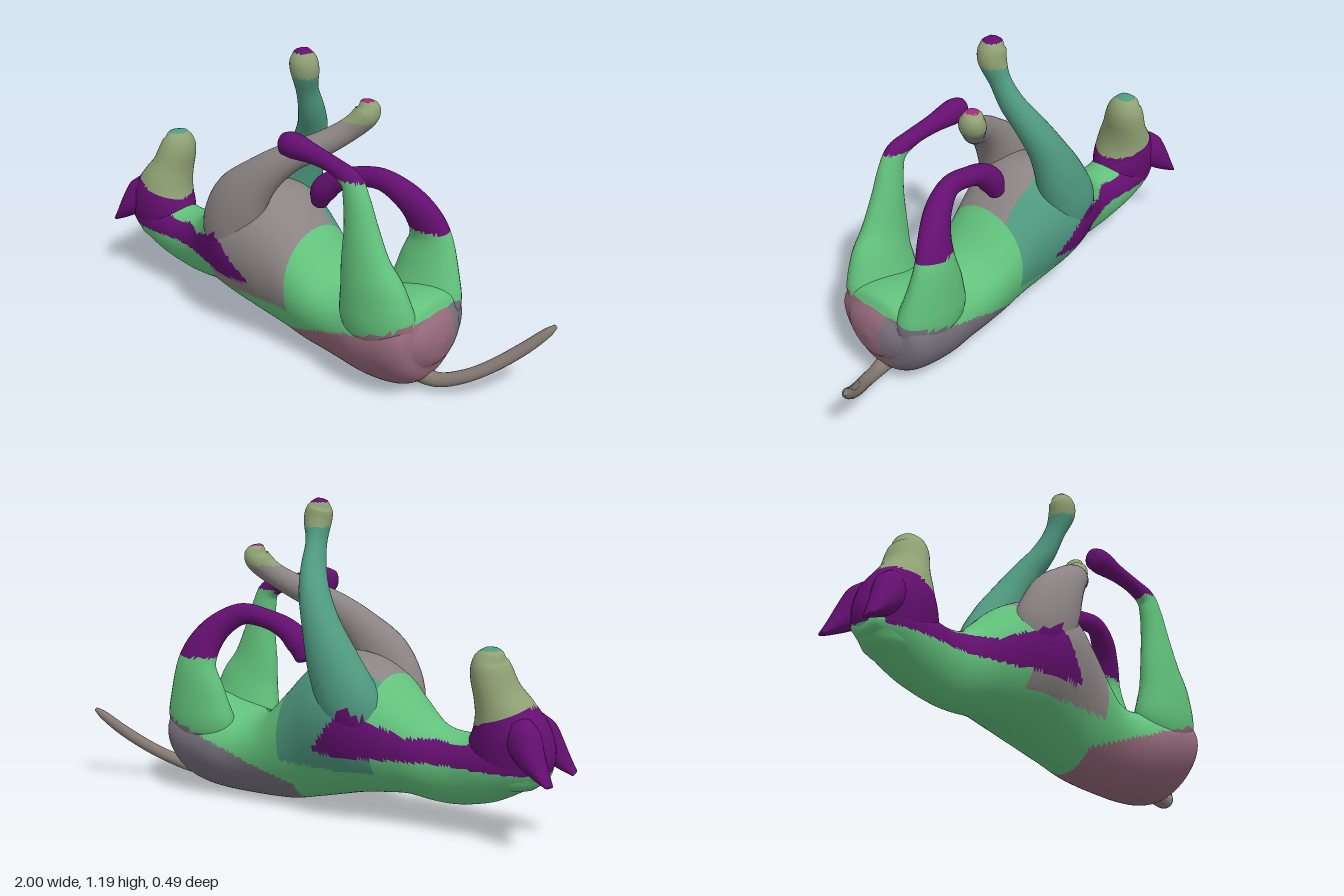
import * as THREE from 'three';

const GREEN = 0x62c27c, PURPLE = 0x640f70, GREY = 0x8c8484, MAUVE = 0x96697a,
  TEAL = 0x4f9a80, SLATE = 0x77707c, OLIVE = 0x8fa274, PINK = 0xa02a80, TAN = 0x857a72;

// Smooth skin over stations [x, y, z, a, b]; b is the half-width towards z, a is across it.
// colorAt(x, y, z) splits the skin into one mesh per colour, all sharing the same normals.
function loft(name, stations, colorAt, { upright = false, egg = 0, steps = 6, sides = 32 } = {}) {
  const curve = pts => new THREE.CatmullRomCurve3(pts, false, 'catmullrom', 0.5);
  const path = curve(stations.map(s => new THREE.Vector3(s[0], s[1], s[2])));
  const radii = curve(stations.map(s => new THREE.Vector3(s[3], s[4], 0)));
  const rows = (stations.length - 1) * steps;
  const pos = [];
  const ring = (center, a, b, up, side) => {
    for (let j = 0; j < sides; j++) {
      const t = (j / sides) * Math.PI * 2, s = Math.sin(t), c = Math.cos(t) * (1 + egg * s);
      const p = center.clone().addScaledVector(up, a * s).addScaledVector(side, b * c);
      pos.push(p.x, p.y, p.z);
    }
  };
  // rounded closing rings for the two ends
  const capRings = [[0.35, 0], [0.3, 0.5], [0.2, 0.8]];
  for (let i = 0; i <= rows; i++) {
    const u = i / rows, r = radii.getPoint(u), c = path.getPoint(u);
    const tan = upright ? new THREE.Vector3(1, 0, 0) : path.getTangent(u);
    const side = new THREE.Vector3(0, 0, 1);
    side.addScaledVector(tan, -side.dot(tan)).normalize();
    const up = new THREE.Vector3().crossVectors(side, tan);
    const cap = (out, scale, sign) => ring(
      c.clone().addScaledVector(tan, sign * out * Math.min(r.x, r.y)), r.x * scale, r.y * scale, up, side);
    if (i === 0) capRings.forEach(([out, scale]) => cap(out, scale, -1));
    ring(c, r.x, r.y, up, side);
    if (i === rows) [...capRings].reverse().forEach(([out, scale]) => cap(out, scale, 1));
  }
  const count = pos.length / 3 / sides, all = [], byColor = new Map();
  for (let i = 0; i < count - 1; i++) {
    for (let j = 0; j < sides; j++) {
      const a = i * sides + j, b = i * sides + (j + 1) % sides, c = a + sides, d = b + sides;
      for (const tri of [[a, b, c], [b, d, c]]) {
        const mid = [0, 1, 2].map(n => tri.reduce((sum, v) => sum + pos[v * 3 + n], 0) / 3);
        const color = colorAt(...mid);
        all.push(...tri);
        if (!byColor.has(color)) byColor.set(color, []);
        byColor.get(color).push(...tri);
      }
    }
  }
  const whole = new THREE.BufferGeometry();
  whole.setAttribute('position', new THREE.Float32BufferAttribute(pos, 3));
  whole.setIndex(all);
  whole.computeVertexNormals();
  const group = new THREE.Group();
  group.name = name;
  for (const [color, index] of byColor) {
    const g = new THREE.BufferGeometry();
    g.setAttribute('position', whole.getAttribute('position'));
    g.setAttribute('normal', whole.getAttribute('normal'));
    g.setIndex(index);
    const mesh = new THREE.Mesh(g, new THREE.MeshStandardMaterial({ color, side: THREE.DoubleSide }));
    mesh.name = name + 'Skin';
    group.add(mesh);
  }
  return group;
}

// Rump patch shared by torso and thighs, and the dark band along neck and shoulder
const onRump = (x, y) => x > 0.05 && y < 0.1 + (x - 0.05) * 0.38;
const onBand = (x, y) => x < -0.1 && y > 0.265
  && y < Math.min(0.35 + Math.max(0, x + 0.45) * 0.5, 0.28 - (x + 0.1) * 1.2);

export function createModel() {
  const model = new THREE.Group();
  model.name = 'animalOnItsBack';

  // Torso, neck and back of the skull: x, bottom, top, half-width, z shift
  const torso = [
    [-0.93, 0.24, 0.31, 0.06, 0], [-0.85, 0.19, 0.36, 0.1, 0], [-0.74, 0.135, 0.38, 0.11, 0],
    [-0.61, 0.105, 0.37, 0.105, 0], [-0.51, 0.103, 0.395, 0.12, 0], [-0.41, 0.113, 0.48, 0.16, 0],
    [-0.32, 0.105, 0.56, 0.205, 0], [-0.22, 0.09, 0.608, 0.235, 0], [-0.1, 0.06, 0.62, 0.225, 0],
    [0, 0.035, 0.565, 0.202, 0], [0.1, 0.012, 0.465, 0.186, 0], [0.2, 0.004, 0.37, 0.176, 0],
    [0.3, 0, 0.338, 0.182, 0.005], [0.42, 0, 0.355, 0.208, 0.01], [0.52, 0.008, 0.38, 0.214, 0.012],
    [0.59, 0.03, 0.385, 0.21, 0.012], [0.635, 0.07, 0.37, 0.188, 0.012], [0.655, 0.12, 0.335, 0.14, 0.012],
  ].map(([x, lo, hi, w, z]) => [x, (lo + hi) / 2, z, (hi - lo) / 2, w]);
  model.add(loft('torso', torso, (x, y, z) => {
    if (onRump(x, y)) return z > -0.05 ? MAUVE : SLATE;
    if (onBand(x, y) && Math.abs(z) > 0.075) return PURPLE;
    if (x > -0.33 && x < 0.08 && y > 0.2) return z > -0.1 ? GREY : TEAL;
    return GREEN;
  }, { upright: true, egg: 0.18, steps: 9, sides: 72 }));

  // Head pointing upwards, muzzle at the top
  model.add(loft('head', [
    [-0.8, 0.22, 0, 0.11, 0.085], [-0.8, 0.3, 0, 0.158, 0.11], [-0.793, 0.385, -0.002, 0.148, 0.12],
    [-0.777, 0.455, -0.01, 0.113, 0.112], [-0.753, 0.53, -0.025, 0.082, 0.095],
    [-0.735, 0.6, -0.037, 0.073, 0.083], [-0.733, 0.642, -0.043, 0.063, 0.07],
    [-0.741, 0.674, -0.048, 0.04, 0.045],
  ], (x, y) => y > 0.68 ? TEAL : y > 0.5 - (x + 0.9) * 0.4 ? OLIVE : y > 0.27 ? PURPLE : GREEN,
  { sides: 44 }));

  // Ears, broad at the forehead and swept back to a point
  for (const s of [1, -1]) {
    model.add(loft(s > 0 ? 'leftEar' : 'rightEar', [
      [-0.85, 0.435, s * 0.055 - 0.01, 0.05, 0.04], [-0.878, 0.39, s * 0.07 - 0.01, 0.066, 0.05],
      [-0.918, 0.335, s * 0.088 - 0.01, 0.05, 0.048], [-0.958, 0.29, s * 0.1 - 0.01, 0.028, 0.038],
      [-0.993, 0.255, s * 0.11 - 0.01, 0.008, 0.024],
    ], () => PURPLE, { sides: 20 }));
  }

  // Front legs, reaching up and crossing
  model.add(loft('leftFrontLeg', [
    [-0.25, 0.3, 0.1, 0.07, 0.06], [-0.245, 0.42, 0.14, 0.125, 0.093], [-0.185, 0.57, 0.152, 0.12, 0.084],
    [-0.09, 0.69, 0.13, 0.08, 0.065], [0.012, 0.778, 0.085, 0.057, 0.052], [0.11, 0.835, 0.02, 0.049, 0.046],
    [0.19, 0.897, -0.05, 0.044, 0.044], [0.237, 0.955, -0.09, 0.047, 0.052], [0.241, 0.998, -0.1, 0.032, 0.036],
  ], (x, y) => y > 1.005 ? PINK : y > 0.93 ? OLIVE : onBand(x, y) ? PURPLE : GREY));
  model.add(loft('rightFrontLeg', [
    [-0.25, 0.3, -0.1, 0.07, 0.06], [-0.235, 0.43, -0.148, 0.12, 0.094], [-0.165, 0.59, -0.163, 0.105, 0.082],
    [-0.1, 0.73, -0.15, 0.074, 0.068], [-0.045, 0.84, -0.113, 0.058, 0.06], [-0.005, 0.93, -0.06, 0.045, 0.054],
    [0.015, 1.02, -0.015, 0.038, 0.045], [0.027, 1.1, 0.012, 0.053, 0.053],
    [0.02, 1.145, 0.015, 0.05, 0.05], [0.01, 1.173, 0.012, 0.03, 0.03],
  ], (x, y) => y > 1.17 ? PURPLE : y > 1.08 ? OLIVE : onBand(x, y) ? PURPLE : TEAL));

  // Hind legs, bent at the hock with the feet hanging forward
  model.add(loft('leftHindLeg', [
    [0.49, 0.14, 0.1, 0.08, 0.06], [0.492, 0.28, 0.14, 0.155, 0.092], [0.478, 0.4, 0.158, 0.142, 0.08],
    [0.448, 0.51, 0.166, 0.104, 0.063], [0.424, 0.64, 0.166, 0.069, 0.05], [0.402, 0.74, 0.166, 0.053, 0.04],
    [0.374, 0.803, 0.163, 0.043, 0.034], [0.3, 0.835, 0.157, 0.031, 0.031], [0.2, 0.853, 0.152, 0.035, 0.033],
    [0.1, 0.864, 0.15, 0.049, 0.043], [0.05, 0.86, 0.15, 0.042, 0.036],
  ], (x, y) => onRump(x, y) ? MAUVE : y > 0.81 || x < 0.33 && y > 0.75 ? PURPLE : GREEN));
  model.add(loft('rightHindLeg', [
    [0.49, 0.14, -0.08, 0.08, 0.05], [0.5, 0.28, -0.12, 0.154, 0.085], [0.5, 0.41, -0.143, 0.13, 0.07],
    [0.498, 0.53, -0.152, 0.09, 0.053], [0.47, 0.62, -0.126, 0.068, 0.05], [0.415, 0.69, -0.092, 0.052, 0.046],
    [0.33, 0.733, -0.064, 0.042, 0.036], [0.22, 0.718, -0.05, 0.038, 0.036], [0.14, 0.685, -0.038, 0.044, 0.044],
    [0.085, 0.635, -0.032, 0.05, 0.05], [0.058, 0.575, -0.036, 0.033, 0.033],
  ], (x, y) => x < 0.3 || y > 0.56 ? PURPLE : onRump(x, y) ? SLATE : GREEN));

  // Tail
  model.add(loft('tail', [
    [0.57, 0.07, 0.02, 0.04, 0.04], [0.66, 0.055, 0.005, 0.028, 0.028], [0.75, 0.085, -0.035, 0.025, 0.025],
    [0.83, 0.135, -0.09, 0.024, 0.024], [0.91, 0.205, -0.155, 0.023, 0.022],
    [0.97, 0.27, -0.205, 0.018, 0.018], [0.995, 0.3, -0.228, 0.008, 0.008],
  ], () => TAN, { sides: 16 }));

  return model;
}
